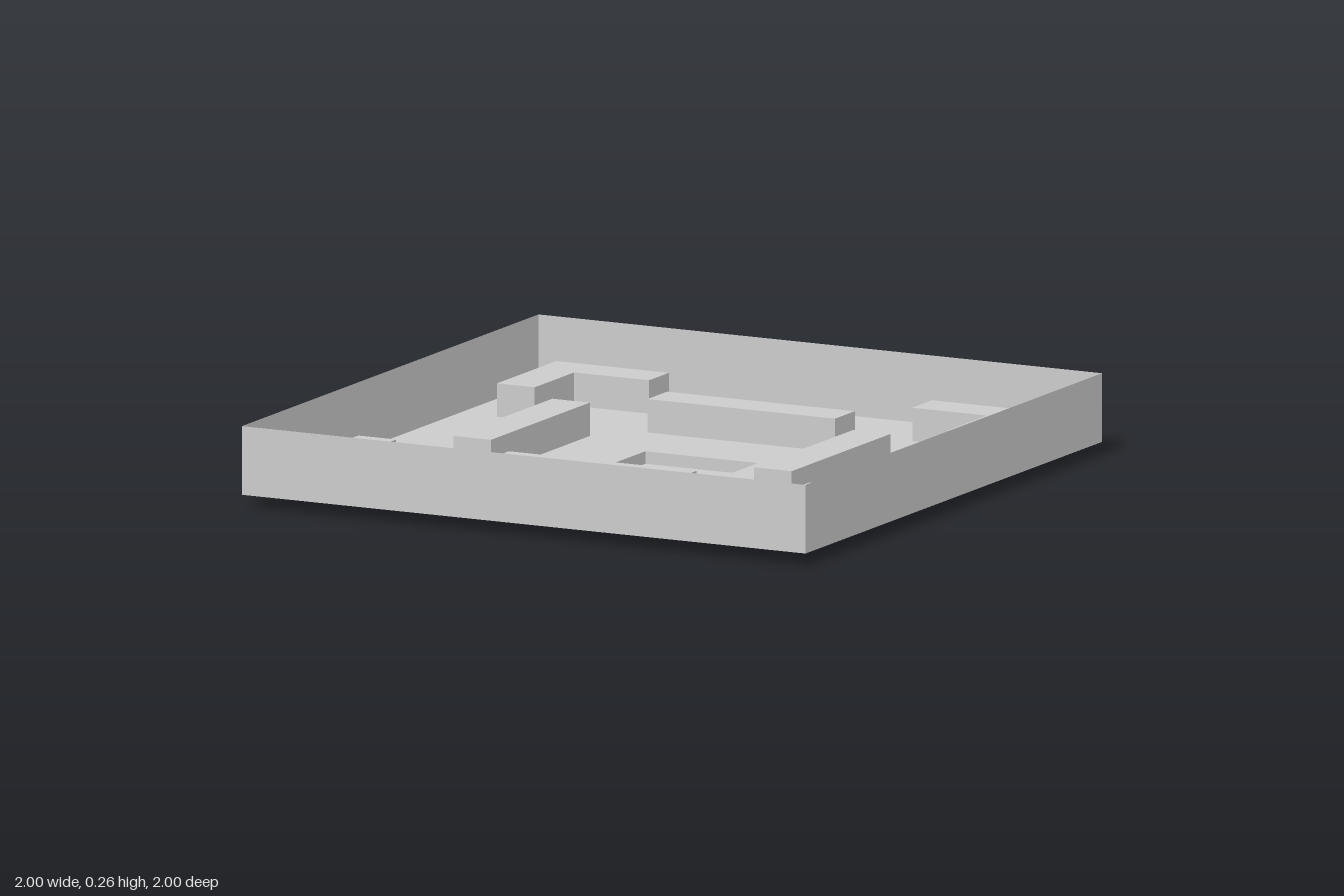
import * as THREE from 'three';

const FLOOR = 0.04, RIM = 0.26, BOSS = 0.107;
const material = new THREE.MeshStandardMaterial({ color: 0xcccccc, side: THREE.DoubleSide });

// Outlines are lists of [x, -z] corners, counter-clockwise seen from above.
const rect = (x0, x1, y0, y1) => [[x0, y0], [x1, y0], [x1, y1], [x0, y1]];
const toPoints = (outline) => outline.map(([x, y]) => new THREE.Vector2(x, y));

// Flat sheet lying at a given height, with optional openings.
function sheet(name, outline, y, holes = []) {
  const shape = new THREE.Shape(toPoints(outline));
  shape.holes = holes.map((h) => new THREE.Path(toPoints(h)));
  const geometry = new THREE.ShapeGeometry(shape).rotateX(-Math.PI / 2).translate(0, y, 0);
  const mesh = new THREE.Mesh(geometry, material);
  mesh.name = name;
  return mesh;
}

// Vertical band following an outline between two heights.
function band(name, outline, y0, y1) {
  const positions = [];
  outline.forEach(([ax, ay], i) => {
    const [bx, by] = outline[(i + 1) % outline.length];
    const a = [ax, y0, -ay], b = [bx, y0, -by], c = [bx, y1, -by], d = [ax, y1, -ay];
    positions.push(...a, ...b, ...c, ...a, ...c, ...d);
  });
  const geometry = new THREE.BufferGeometry();
  geometry.setAttribute('position', new THREE.Float32BufferAttribute(positions, 3));
  geometry.computeVertexNormals();
  const mesh = new THREE.Mesh(geometry, material);
  mesh.name = name;
  return mesh;
}

// Pressed feature: side band plus a closing panel, open on the floor side.
function pressing(name, outline, height) {
  const group = new THREE.Group();
  group.name = name;
  group.add(
    band(name + 'Sides', outline, FLOOR, FLOOR + height),
    sheet(name + 'Panel', outline, FLOOR + height)
  );
  return group;
}

export function createModel() {
  const model = new THREE.Group();
  model.name = 'tray';
  const features = [];

  // Sunken square in the middle
  features.push({ name: 'centreFoot', outline: rect(-0.2, 0.2, -0.2, 0.2), height: -FLOOR });

  // Raised bars around the middle and angled corner pieces
  const corner = [[0.467, 0.733], [0.733, 0.733], [0.733, 0.467], [0.867, 0.467], [0.867, 0.867], [0.467, 0.867]];
  for (const s of [-1, 1]) {
    const near = Math.min(s * 0.467, s * 0.6), far = Math.max(s * 0.467, s * 0.6);
    features.push({ name: s < 0 ? 'rightBar' : 'leftBar', outline: rect(near, far, -0.333, 0.333), height: BOSS });
    features.push({ name: s < 0 ? 'frontBar' : 'backBar', outline: rect(-0.333, 0.333, near, far), height: BOSS });
    for (const t of [-1, 1]) {
      const outline = corner.map(([x, y]) => [s * x, t * y]);
      if (s * t < 0) outline.reverse();
      features.push({ name: 'cornerPiece', outline, height: BOSS });
    }
  }
  for (const f of features) model.add(pressing(f.name, f.outline, f.height));

  // Floor with an opening under each pressing, and the thin outer walls
  const edge = rect(-1, 1, -1, 1);
  model.add(sheet('floor', edge, FLOOR, features.map((f) => f.outline)));
  model.add(band('outerWalls', [...edge].reverse(), FLOOR, RIM));
  return model;
}
